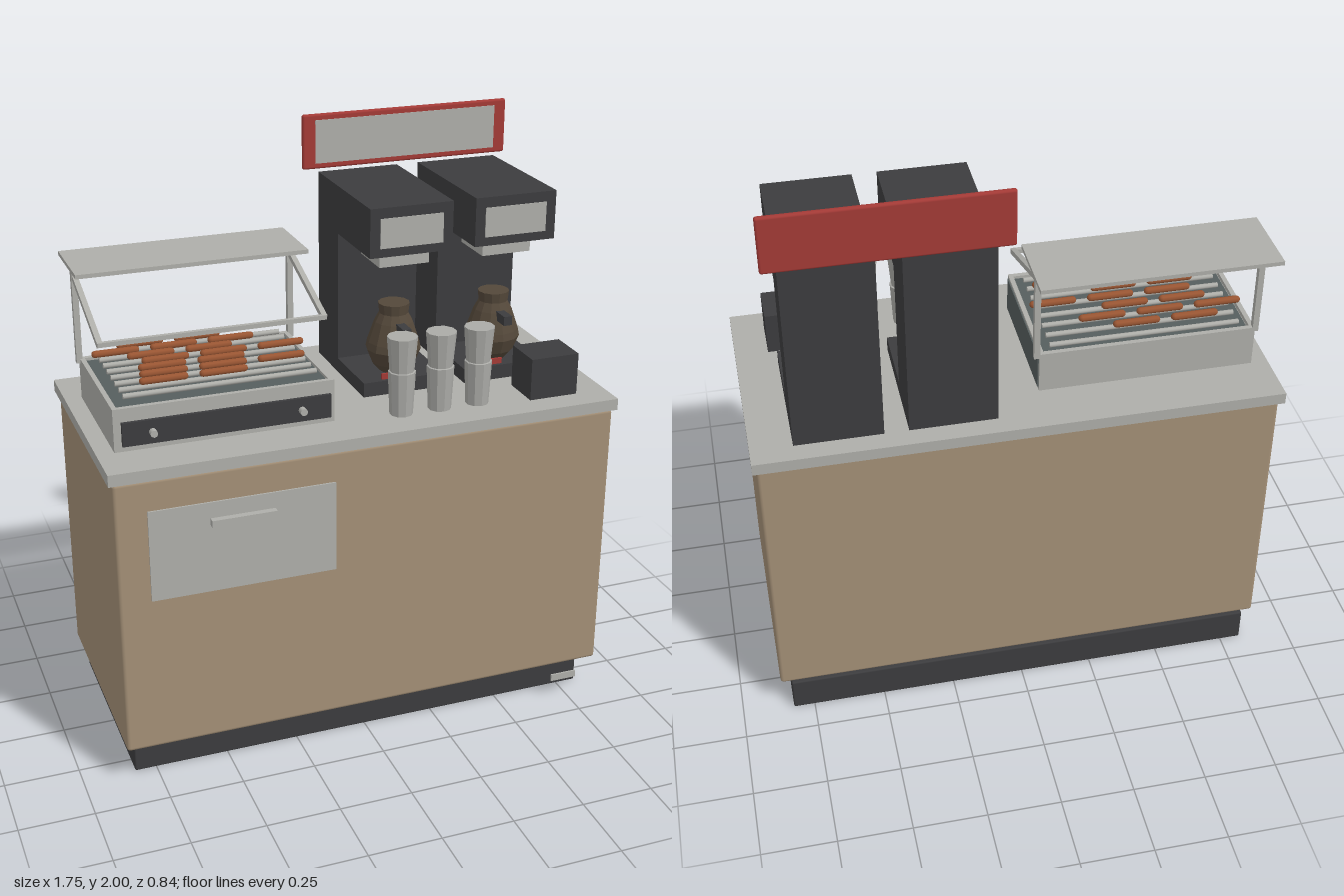
import * as THREE from 'three';
import { RoundedBoxGeometry } from 'three/addons/geometries/RoundedBoxGeometry.js';

const mat = (name, color, extra = {}) => {
  const m = new THREE.MeshStandardMaterial({ color, ...extra });
  m.name = name;
  return m;
};

export function createModel() {
  const root = new THREE.Group();
  root.name = 'snackCounter';

  const tan = mat('tan laminate', 0xa38f76);
  const steel = mat('light steel', 0xaeaea9);
  const dark = mat('dark plastic', 0x3c3c3e);
  const black = mat('black underside', 0x1e1e1e);
  const red = mat('red', 0xa33a36);
  const slate = mat('slate', 0x565e5e);
  const meat = mat('sausage brown', 0x9a5633);
  const coffee = mat('coffee glass', 0x54483a, { flatShading: true });
  const cupWhite = mat('cup grey', 0xaaaaa6, { flatShading: true });

  const add = (parent, name, geo, material) => {
    const m = new THREE.Mesh(geo, material);
    m.name = name;
    parent.add(m);
    return m;
  };
  // box from its lower and upper limits, with optional rounded edges
  const box = (parent, name, material, x0, x1, y0, y1, z0, z1, r = 0) => {
    const s = [x1 - x0, y1 - y0, z1 - z0];
    const geo = r ? new RoundedBoxGeometry(...s, 2, r) : new THREE.BoxGeometry(...s);
    const m = add(parent, name, geo, material);
    m.position.set((x0 + x1) / 2, (y0 + y1) / 2, (z0 + z1) / 2);
    return m;
  };
  const group = (name) => {
    const g = new THREE.Group();
    g.name = name;
    root.add(g);
    return g;
  };
  const lathe = (pts, sides) =>
    new THREE.LatheGeometry(pts.map((p) => new THREE.Vector2(...p)), sides);

  // Cabinet with worktop
  const cabinet = group('cabinet');
  box(cabinet, 'cabinetBody', tan, -0.86, 0.86, 0.13, 1.1, -0.4, 0.392, 0.012);
  box(cabinet, 'worktop', steel, -0.873, 0.873, 1.1, 1.14, -0.42, 0.4);
  box(cabinet, 'underside', black, -0.8, 0.8, 0.115, 0.135, -0.38, 0.3);
  box(cabinet, 'frontPanel', steel, -0.755, -0.135, 0.68, 0.995, 0.39, 0.398);
  box(cabinet, 'panelHandle', steel, -0.555, -0.34, 0.915, 0.94, 0.398, 0.42);
  box(cabinet, 'ventPlate', steel, 0.685, 0.78, 0.07, 0.095, 0.396, 0.402);

  // Hollow plinth
  box(cabinet, 'plinthFront', dark, -0.823, 0.823, 0, 0.122, 0.27, 0.32, 0.006);
  box(cabinet, 'plinthBack', dark, -0.823, 0.823, 0, 0.122, -0.4, -0.35, 0.006);
  for (const s of [-1, 1]) {
    box(cabinet, 'plinthSide', dark, s * 0.798 - 0.025, s * 0.798 + 0.025, 0, 0.122, -0.398, 0.318, 0.006);
  }

  // Sign above the coffee machines
  const sign = group('sign');
  box(sign, 'signFrame', red, 0.025, 0.785, 1.81, 2, -0.386, -0.367, 0.008);
  box(sign, 'signFace', steel, 0.07, 0.74, 1.83, 1.98, -0.37, -0.364);

  // Two coffee machines, each with a carafe
  const carafeShape = lathe([
    [0, 0], [0.05, 0], [0.075, 0.03], [0.095, 0.08], [0.09, 0.105],
    [0.066, 0.175], [0.05, 0.205], [0.054, 0.24], [0, 0.24],
  ], 12);
  for (const x of [0.22, 0.59]) {
    const machine = group('coffeeMachine');
    const part = (name, m, w, ...rest) => box(machine, name, m, x - w / 2, x + w / 2, ...rest);
    part('column', dark, 0.29, 1.19, 1.64, -0.35, -0.157);
    part('head', dark, 0.29, 1.64, 1.805, -0.352, 0.14);
    part('base', dark, 0.29, 1.14, 1.19, -0.35, 0.095);
    part('display', steel, 0.22, 1.67, 1.77, 0.137, 0.143);
    part('brewBasket', steel, 0.175, 1.585, 1.64, -0.09, 0.08);
    box(machine, 'switch', red, x - 0.075, x, 1.19, 1.21, 0.075, 0.083);
    add(machine, 'carafe', carafeShape, coffee).position.set(x, 1.19, -0.005);
    part('carafeHandle', dark, 0.03, 1.34, 1.372, 0.05, 0.118);
  }

  // Condiment box and stacks of cups
  box(root, 'condimentBox', dark, 0.59, 0.762, 1.14, 1.285, 0.165, 0.31);
  const cupShape = lathe([
    [0, 0], [0.039, 0], [0.046, 0.15], [0.041, 0.152], [0.051, 0.27], [0, 0.27],
  ], 10);
  for (const x of [0.143, 0.28, 0.416]) {
    add(root, 'cupStack', cupShape, cupWhite).position.set(x, 1.14, 0.26);
  }

  // Roller grill housing
  const grill = group('rollerGrill');
  box(grill, 'housing', steel, -0.815, -0.085, 1.14, 1.27, -0.235, 0.245);
  box(grill, 'sidePanel', slate, -0.086, -0.081, 1.15, 1.275, -0.225, 0.235);
  box(grill, 'tray', slate, -0.795, -0.1, 1.268, 1.275, -0.22, 0.23);
  box(grill, 'frontRim', steel, -0.815, -0.085, 1.27, 1.285, 0.228, 0.245);
  box(grill, 'backRim', steel, -0.815, -0.085, 1.27, 1.285, -0.235, -0.218);
  for (const x of [-0.807, -0.093]) {
    box(grill, 'sideRim', steel, x - 0.008, x + 0.008, 1.27, 1.285, -0.22, 0.23);
  }
  box(grill, 'controlPanel', dark, -0.79, -0.1, 1.16, 1.24, 0.24, 0.257);
  for (const x of [-0.693, -0.2]) {
    const knob = add(grill, 'knob', new THREE.CylinderGeometry(0.012, 0.012, 0.025, 12), steel);
    knob.rotation.x = Math.PI / 2;
    knob.position.set(x, 1.2, 0.267);
  }

  // Rollers
  const rollerShape = new THREE.CylinderGeometry(0.009, 0.009, 0.64, 10).rotateZ(Math.PI / 2);
  for (let i = 0; i < 8; i++) {
    add(grill, 'roller', rollerShape, steel).position.set(-0.445, 1.298, -0.205 + i * 0.055);
  }

  // Sausages: row depth, left end of the first, count
  const sausageShape = new THREE.CapsuleGeometry(0.0125, 0.135, 3, 8).rotateZ(Math.PI / 2);
  const rows = [
    [-0.18, -0.7, 2], [-0.125, -0.795, 3], [-0.07, -0.69, 2], [-0.015, -0.655, 3],
    [0.04, -0.68, 2], [0.097, -0.69, 3], [0.155, -0.705, 2],
  ];
  for (const [z, x0, n] of rows) {
    for (let i = 0; i < n; i++) {
      add(grill, 'sausage', sausageShape, meat).position.set(x0 + 0.08 + i * 0.197, 1.33, z);
    }
  }

  // Sneeze guard: shelf, posts, sloping arms and front bar
  box(grill, 'guardShelf', steel, -0.838, -0.055, 1.605, 1.619, -0.357, -0.088);
  const rise = 0.122, run = 0.355;
  for (const x of [-0.817, -0.077]) {
    box(grill, 'guardPost', steel, x - 0.01, x + 0.01, 1.27, 1.606, -0.235, -0.215);
    const arm = add(grill, 'guardArm', new THREE.BoxGeometry(0.018, 0.018, Math.hypot(rise, run)), steel);
    arm.position.set(x, 1.517, -0.048);
    arm.rotation.x = Math.atan2(rise, run);
  }
  box(grill, 'guardBar', steel, -0.825, -0.07, 1.45, 1.465, 0.118, 0.133);

  return root;
}
